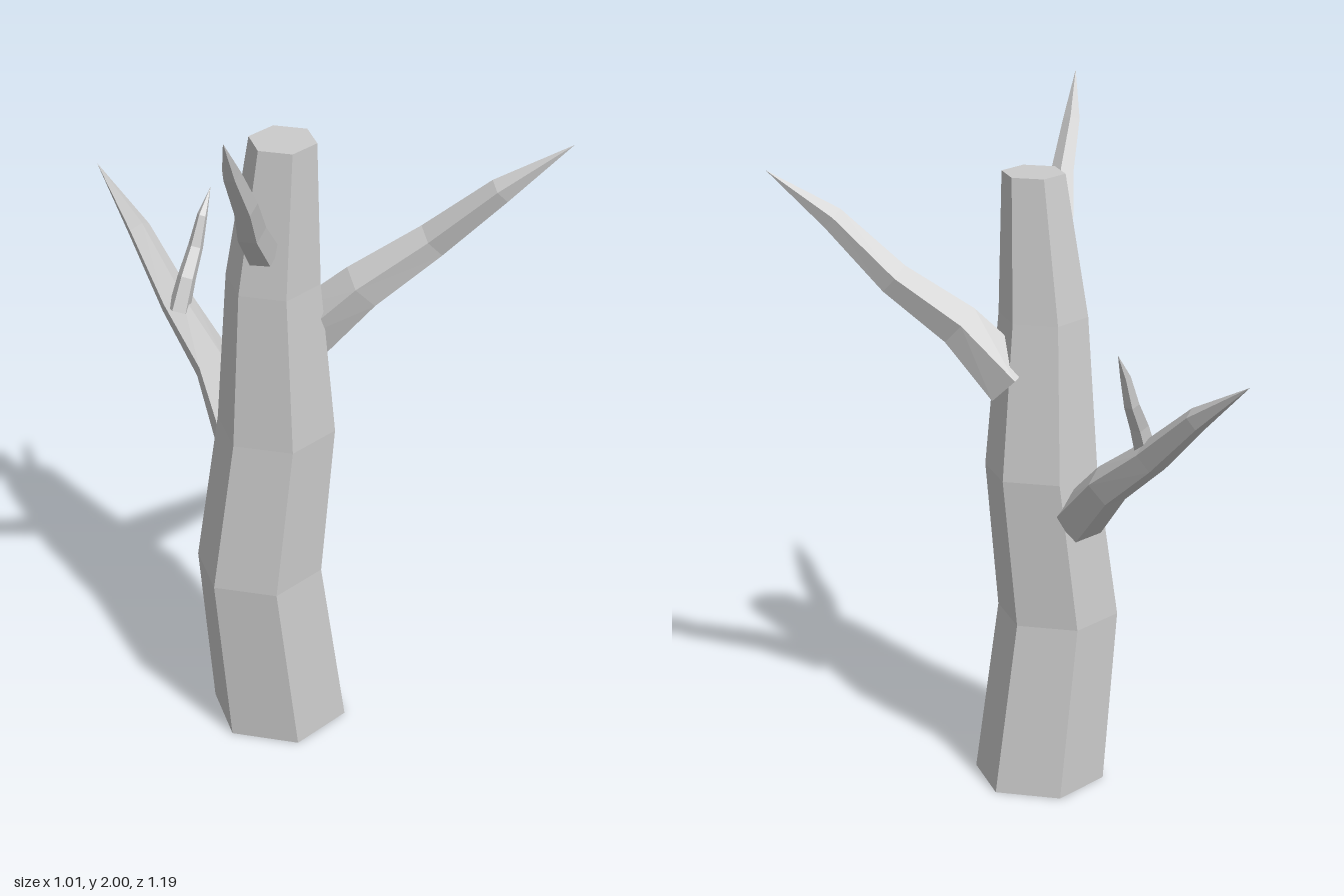
import * as THREE from 'three';

const material = new THREE.MeshStandardMaterial({
  color: 0xcccccc, flatShading: true, side: THREE.DoubleSide,
});

// Faceted skin through rings of points; an end ring can be closed with a fan.
function skin(name, rings, capStart, capEnd) {
  const pos = [];
  const tri = (...pts) => pts.forEach((p) => pos.push(p.x, p.y, p.z));
  const n = rings[0].length;
  for (let r = 0; r < rings.length - 1; r++) {
    const lo = rings[r], hi = rings[r + 1];
    for (let i = 0; i < n; i++) {
      const j = (i + 1) % n;
      tri(lo[i], lo[j], hi[j]);
      if (hi[i].distanceTo(hi[j]) > 1e-4) tri(lo[i], hi[j], hi[i]);
    }
  }
  const first = rings[0], last = rings[rings.length - 1];
  for (let i = 1; i < n - 1; i++) {
    if (capStart) tri(first[0], first[i + 1], first[i]);
    if (capEnd) tri(last[0], last[i], last[i + 1]);
  }
  const geometry = new THREE.BufferGeometry();
  geometry.setAttribute('position', new THREE.Float32BufferAttribute(pos, 3));
  geometry.computeVertexNormals();
  const mesh = new THREE.Mesh(geometry, material);
  mesh.name = name;
  return mesh;
}

function ring(center, radius, sides, phase, turn) {
  return Array.from({ length: sides }, (_, i) => {
    const a = phase + (i / sides) * Math.PI * 2;
    return new THREE.Vector3(Math.sin(a) * radius, 0, Math.cos(a) * radius)
      .applyQuaternion(turn).add(center);
  });
}

// Stations are [x, y, z, radius]; the rings stay level.
function trunk(stations) {
  const level = new THREE.Quaternion();
  const rings = stations.map(([x, y, z, r]) => ring(new THREE.Vector3(x, y, z), r, 6, 0, level));
  return skin('trunk', rings, false, true);
}

// Five-sided tapering limb with one ridge on its upper side, ending in a point.
function branch(name, stations) {
  const pts = stations.map(([x, y, z]) => new THREE.Vector3(x, y, z));
  const end = pts.length - 1;
  const lean = pts[end].clone().sub(pts[0]);
  const phase = Math.atan2(-lean.x, -lean.z);
  const up = new THREE.Vector3(0, 1, 0);
  const rings = pts.map((p, i) => {
    const dir = pts[Math.min(i + 1, end)].clone().sub(pts[Math.max(i - 1, 0)]).normalize();
    const turn = new THREE.Quaternion().setFromUnitVectors(up, dir);
    return ring(p, stations[i][3], 5, phase, turn);
  });
  return skin(name, rings, true, false);
}

export function createModel() {
  const group = new THREE.Group();
  group.name = 'deadTree';
  group.add(
    // Crooked hexagonal trunk, sawn flat at the top and open underneath
    trunk([
      [-0.205, 0, 0.173, 0.191],
      [-0.262, 0.51, 0.185, 0.176],
      [-0.21, 0.95, 0.188, 0.163],
      [-0.218, 1.4, 0.202, 0.128],
      [-0.193, 1.805, 0.22, 0.09],
    ]),
    // Long limb on the left side
    branch('leftBranch', [
      [-0.12, 1.22, 0.18, 0.085],
      [0.012, 1.375, 0.257, 0.066],
      [0.185, 1.51, 0.31, 0.05],
      [0.335, 1.672, 0.397, 0.036],
      [0.505, 1.805, 0.46, 0],
    ]),
    // Limb reaching backward, with a twig
    branch('backBranch', [
      [-0.275, 0.835, 0.05, 0.075],
      [-0.305, 0.985, -0.105, 0.061],
      [-0.373, 1.115, -0.26, 0.049],
      [-0.435, 1.27, -0.425, 0.034],
      [-0.51, 1.405, -0.597, 0],
    ]),
    branch('backTwig', [
      [-0.375, 1.11, -0.215, 0.032],
      [-0.345, 1.2, -0.235, 0.027],
      [-0.31, 1.275, -0.267, 0.022],
      [-0.285, 1.36, -0.283, 0.015],
      [-0.253, 1.43, -0.31, 0],
    ]),
    // High limb at the front
    branch('frontBranch', [
      [-0.267, 1.525, 0.28, 0.047],
      [-0.32, 1.635, 0.36, 0.042],
      [-0.353, 1.745, 0.435, 0.034],
      [-0.405, 1.875, 0.512, 0.025],
      [-0.445, 2, 0.597, 0],
    ]),
  );
  return group;
}
